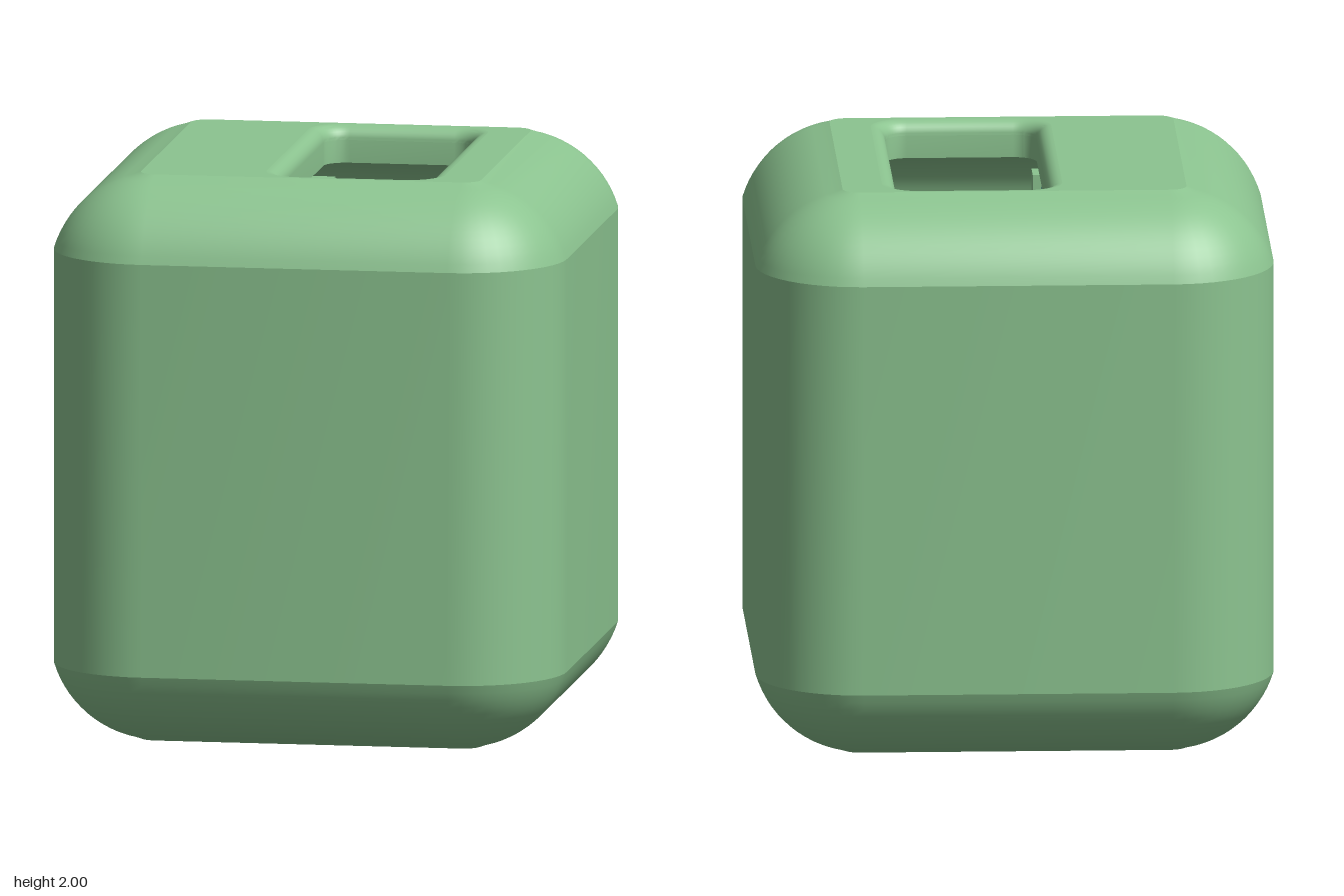
import * as THREE from 'three';
import { toCreasedNormals } from 'three/addons/utils/BufferGeometryUtils.js';

const CORE = 0.54, SEG = 12;
const mat = (color) => new THREE.MeshStandardMaterial({ color, side: THREE.DoubleSide });

// Rounded rectangle in the x/z plane; a circle when hx = hz = r
function outline(cx, cz, hx, hz, r) {
  const pts = [];
  [[1, 1], [-1, 1], [-1, -1], [1, -1]].forEach(([sx, sz], q) => {
    for (let i = 0; i <= SEG; i++) {
      const a = (q + i / SEG) * Math.PI / 2;
      pts.push(new THREE.Vector2(
        cx + sx * (hx - r) + r * Math.cos(a),
        cz + sz * (hz - r) + r * Math.sin(a)));
    }
  });
  return pts;
}

// Skin through a stack of outlines, each { pts, y }
function loft(rings) {
  const n = rings[0].pts.length, pos = [], idx = [];
  rings.forEach(({ pts, y }) => pts.forEach((p) => pos.push(p.x, y, p.y)));
  for (let j = 0; j < rings.length - 1; j++) {
    for (let i = 0; i < n; i++) {
      const a = j * n + i, b = j * n + (i + 1) % n;
      idx.push(a, a + n, b, b, a + n, b + n);
    }
  }
  const geo = new THREE.BufferGeometry();
  geo.setAttribute('position', new THREE.Float32BufferAttribute(pos, 3));
  geo.setIndex(idx);
  geo.computeVertexNormals();
  return toCreasedNormals(geo, 0.25);
}

// Flat panel with holes
function panel(pts, holes, y) {
  const shape = new THREE.Shape(pts);
  holes.forEach((h) => shape.holes.push(new THREE.Path(h)));
  return new THREE.ShapeGeometry(shape).rotateX(Math.PI / 2).translate(0, y, 0);
}

// Rounded-cube sections: fillet of radius r cut off at the side walls
function bodyRings(r) {
  const start = Math.asin(0.06 / r), end = Math.asin(0.364 / 0.38), rings = [];
  for (const side of [-1, 1]) {
    for (let i = 0; i <= 14; i++) {
      const k = side < 0 ? i : 14 - i;
      const t = start + (end - start) * k / 14, d = r * Math.sin(t);
      const h = k === 0 ? r : r * Math.cos(t);
      rings.push({ pts: outline(0, 0, CORE + d, CORE + d, d), y: 1 + side * (0.62 + h) });
    }
  }
  return rings;
}

// Hole through a wall with a rounded outer lip
function holeRings(o, yOut, yIn, lip) {
  const dir = Math.sign(yIn - yOut), rings = [];
  for (let i = 0; i <= 8; i++) {
    const a = i / 8 * Math.PI / 2, g = lip * (1 - Math.sin(a));
    rings.push({ pts: outline(o.x, o.z, o.hx + g, o.hz + g, o.r + g), y: yOut + dir * lip * (1 - Math.cos(a)) });
  }
  rings.push({ pts: outline(o.x, o.z, o.hx, o.hz, o.r), y: yIn });
  return rings;
}

export function createModel() {
  const model = new THREE.Group();
  const green = mat(0x8cc490), blue = mat(0x065a70), cream = mat(0xd9d6b8);
  const gold = mat(0xe0bc58), grey = mat(0xaaaaaa), amber = mat(0xe0a70c);
  const add = (name, geo, material, parent = model) => {
    const m = new THREE.Mesh(geo, material);
    m.name = name;
    parent.add(m);
    return m;
  };
  const box = (x0, x1, y0, y1, z0, z1) => new THREE.BoxGeometry(x1 - x0, y1 - y0, z1 - z0)
    .translate((x0 + x1) / 2, (y0 + y1) / 2, (z0 + z1) / 2);

  // Outer and inner skins of the hollow case
  add('outerShell', loft(bodyRings(0.38)), green);
  add('innerShell', loft(bodyRings(0.25)), green);

  // Openings: large slot on top, connector slot and round port underneath
  const topSlot = { x: 0.145, z: -0.003, hx: 0.265, hz: 0.537, r: 0.08 };
  const lower = [
    { x: -0.465, z: -0.15, hx: 0.08, hz: 0.26, r: 0.06 },
    { x: -0.43, z: 0.49, hx: 0.075, hz: 0.075, r: 0.075 },
  ];
  const lip = 0.05, lowLip = 0.03;
  const lastOf = (rings) => rings[rings.length - 1].pts;
  const topHole = holeRings(topSlot, 2, 1.87, lip);
  const lowHoles = lower.map((o) => holeRings(o, 0, 0.13, lowLip));
  add('topOpening', loft(topHole), green);
  lowHoles.forEach((h, i) => add(i ? 'roundPort' : 'connectorSlot', loft(h), green));

  // Star of speaker holes
  const cx = 0.18, grille = [];
  [0.075, 0.145, 0.215, 0.285].forEach((rad, k) => {
    const count = k ? 10 : 5;
    for (let i = 0; i < count; i++) {
      const a = i / count * Math.PI * 2, pts = [];
      for (let j = 0; j < 16; j++) {
        const b = j / 16 * Math.PI * 2;
        pts.push(new THREE.Vector2(cx + rad * Math.cos(a) + 0.02 * Math.cos(b), rad * Math.sin(a) + 0.02 * Math.sin(b)));
      }
      grille.push(pts);
    }
  });
  const holes = new THREE.Group();
  holes.name = 'speakerHoles';
  model.add(holes);
  grille.forEach((pts) => add('speakerHole', loft([{ pts, y: 0 }, { pts, y: 0.13 }]), green, holes));

  // Flat panels closing the skins
  const cap = outline(0, 0, 0.6, 0.6, 0.06);
  add('topPanel', panel(cap, [topHole[0].pts], 2), green);
  add('ceiling', panel(cap, [lastOf(topHole)], 1.87), green);
  add('bottomPanel', panel(cap, [...grille, ...lowHoles.map((h) => h[0].pts)], 0), green);
  add('floor', panel(cap, [...grille, ...lowHoles.map(lastOf)], 0.13), green);

  // Raised speaker seat with chamfered rim
  const rim = [[0.42, 0.13], [0.42, 0.26], [0.4, 0.28], [0.345, 0.28], [0.33, 0.26], [0.33, 0.13]]
    .map(([x, y]) => new THREE.Vector2(x, y));
  add('speakerSeat', toCreasedNormals(new THREE.LatheGeometry(rim, 64), 0.4), green).position.x = cx;

  // Upright circuit board held by two rails
  add('boardCore', box(-0.2, -0.145, 0.3, 1.81, -0.56, 0.56), cream);
  add('boardFace', box(-0.145, -0.14, 0.3, 1.81, -0.56, 0.56), blue);
  add('boardBack', box(-0.205, -0.2, 0.3, 1.81, -0.56, 0.56), blue);
  for (const s of [-1, 1]) add('boardRail', box(-0.24, -0.11, 0.13, 1.8, s * 0.61 - 0.05, s * 0.61 + 0.05), green);

  // Header pins, grey at the ends of the row, and short solder stubs
  const pin = (name, x1, y, z, m, r) => {
    const len = x1 + 0.14 - r;
    add(name, new THREE.CapsuleGeometry(r, len, 4, 10).rotateZ(Math.PI / 2).translate(x1 - r - len / 2, y, z), m);
  };
  for (let i = 0; i < 8; i++) pin('headerPin', 0.06, 1.2, -0.525 + i * 0.0923, i % 7 ? gold : grey, 0.0125);
  [[1.69, -0.525], [1.54, -0.525], [1.68, -0.25], [1.7, -0.065]]
    .forEach(([y, z]) => pin('solderStub', -0.085, y, z, grey, 0.01));

  // Indicator lamp on two leads
  add('lamp', new THREE.CapsuleGeometry(0.05, 0.015, 8, 20).rotateZ(Math.PI / 2).translate(0.003, 1.1, 0.37), amber);
  for (const s of [-1, 1]) pin('lampLead', -0.03, 1.1 + s * 0.02, 0.37, grey, 0.007);

  return model;
}
